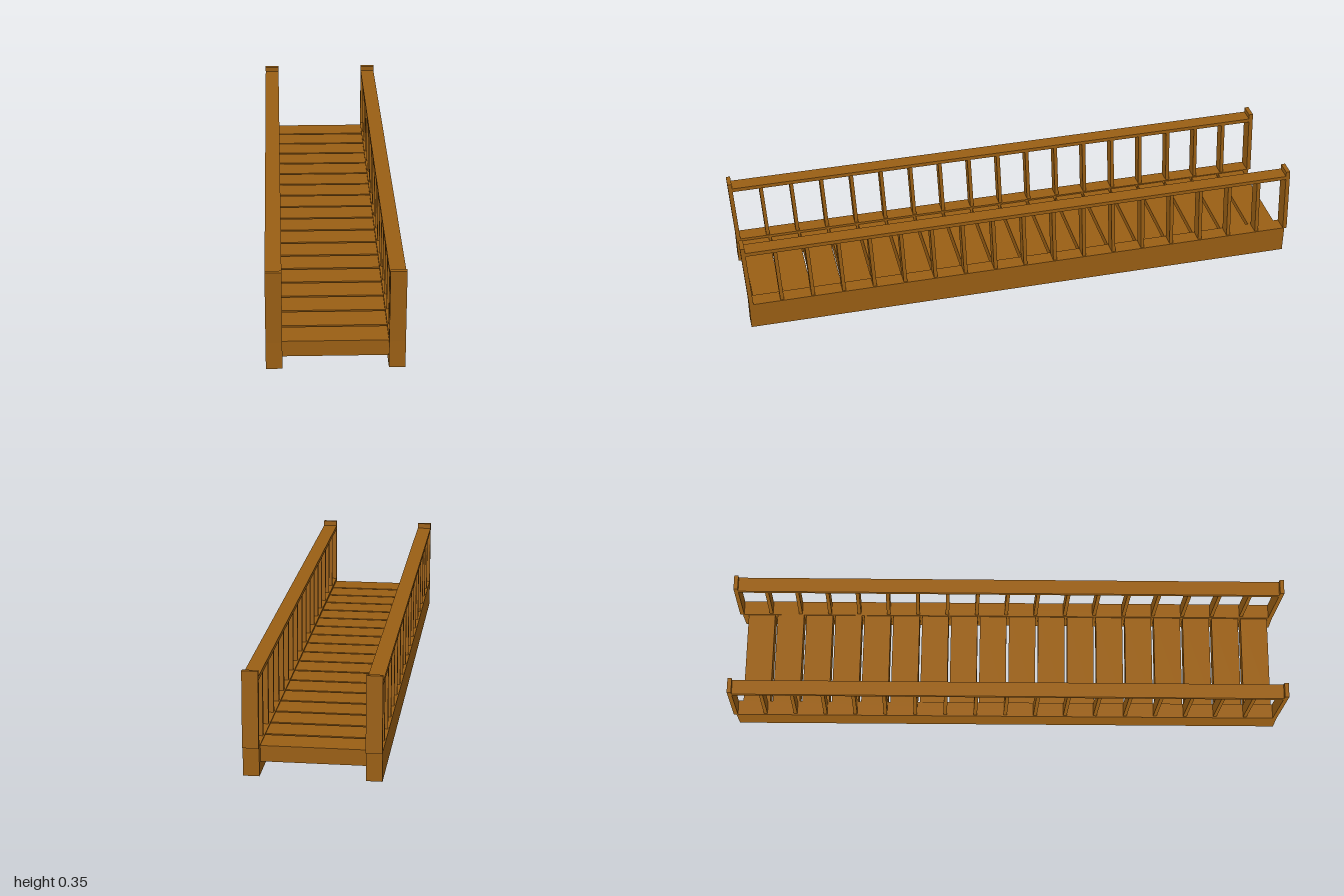
import * as THREE from 'three';

export function createModel() {
  const model = new THREE.Group();
  model.name = 'footbridge';
  const wood = new THREE.MeshStandardMaterial({ color: 0x9a5f14, flatShading: true });

  function box(parent, name, [w, h, d], [x, y, z], tilt = 0) {
    const mesh = new THREE.Mesh(new THREE.BoxGeometry(w, h, d), wood);
    mesh.name = name;
    mesh.position.set(x, y, z);
    mesh.rotation.x = tilt;
    parent.add(mesh);
  }

  // Deck of 18 crosswise planks with narrow gaps
  const deck = new THREE.Group();
  deck.name = 'deck';
  model.add(deck);
  const plankPitch = 0.1085;
  for (let i = 0; i < 18; i++) {
    box(deck, 'plank', [0.345, 0.054, 0.099], [0, 0.0695, (i - 8.5) * plankPitch]);
  }

  // Matching sides: beam, handrail, end posts and balusters
  const lean = 0.042; // uprights lean slightly towards the front
  for (const side of [1, -1]) {
    const railing = new THREE.Group();
    railing.name = side > 0 ? 'leftSide' : 'rightSide';
    model.add(railing);
    const x = side * 0.197;

    // Beam, a little higher at the front
    box(railing, 'sideBeam', [0.053, 0.099, 1.985], [x, 0.0535, -0.002], -0.004);
    box(railing, 'handrail', [0.053, 0.014, 1.97], [x, 0.326, 0.002]);

    for (const z of [0.988, -0.991]) {
      box(railing, 'endPost', [0.053, 0.255, 0.015], [x, 0.2245, z], lean);
    }
    for (let i = 1; i < 18; i++) {
      box(railing, 'baluster', [0.044, 0.226, 0.013], [x, 0.21, 0.988 - i * 0.11], lean);
    }
  }
  return model;
}
